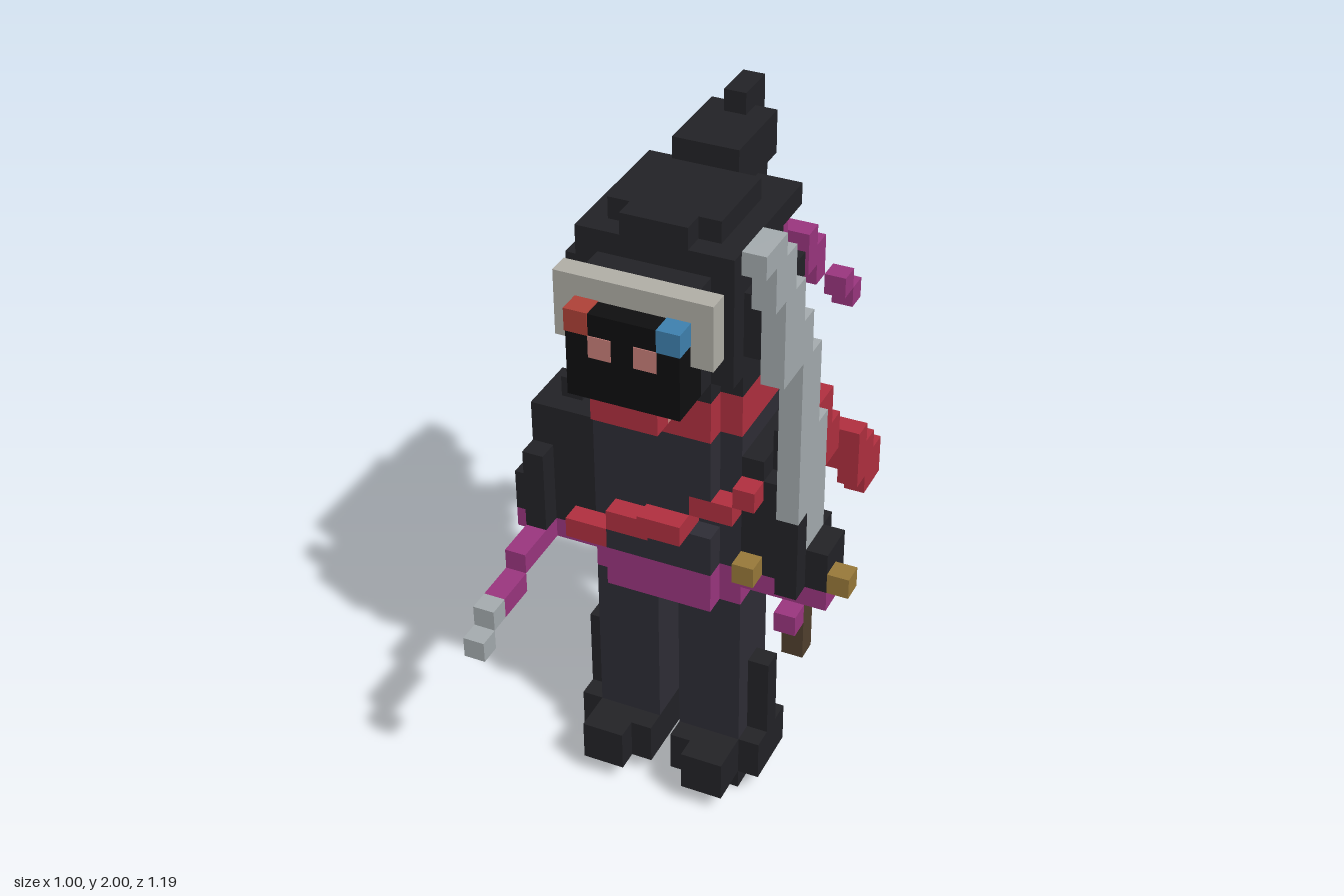
import * as THREE from 'three';

const V = 1 / 16; // edge of one voxel
const mat = (color) => new THREE.MeshStandardMaterial({ color, flatShading: true });
const M = {
  cloth: mat(0x232327), suit: mat(0x2e2d36), black: mat(0x0f0f10),
  purple: mat(0x9c3680), red: mat(0xb23040), steel: mat(0xa6adb0),
  plate: mat(0xb2b0a8), gold: mat(0x9a7a3a), brown: mat(0x52412f),
  skin: mat(0xcb817b), blue: mat(0x3f82b0), rust: mat(0xb04238),
};

// Each box is [x0, x1, y0, y1, z0, z1] in voxel units
function part(parent, name, material, boxes) {
  const g = new THREE.Group();
  g.name = name;
  for (const [x0, x1, y0, y1, z0, z1] of boxes) {
    const m = new THREE.Mesh(new THREE.BoxGeometry((x1 - x0) * V, (y1 - y0) * V, (z1 - z0) * V), material);
    m.position.set(((x0 + x1) / 2 - 8) * V, ((y0 + y1) / 2) * V, ((z0 + z1) / 2 - 9.5) * V);
    m.name = name;
    g.add(m);
  }
  parent.add(g);
}

// Mirror boxes across the body's middle plane (x = 7.5 voxels)
const mirror = (boxes) => boxes.map(([a, b, ...r]) => [15 - b, 15 - a, ...r]);

// Slab with its four upright corners notched by one voxel
const notched = (x0, x1, y0, y1, z0, z1) => [
  [x0, x1, y0, y1, z0 + 1, z1 - 1],
  [x0 + 1, x1 - 1, y0, y1, z0, z1],
];

export function createModel() {
  const root = new THREE.Group();
  root.name = 'voxelNinja';
  const add = (...a) => part(root, ...a);
  const pair = (name, material, boxes) => {
    add(name + 'Right', material, boxes);
    add(name + 'Left', material, mirror(boxes));
  };

  // Legs and feet
  pair('leg', M.suit, [[4, 7, 3, 11, 9, 12]]);
  pair('shinGuard', M.cloth, [[3, 4, 3, 7, 10, 11]]);
  pair('foot', M.cloth, [[3, 7, 1, 3, 9, 12], [4, 7, 1, 3, 9, 13], [4, 6, 1, 3, 8, 14]]);
  pair('sole', M.cloth, [[4, 6, 0, 1, 10, 12]]);

  // Torso, belt and hem
  add('torso', M.suit, [
    [4, 11, 13, 20, 8, 12], [5, 10, 13, 18, 7, 8],
    [5, 10, 17, 20, 12, 13], [5, 9, 16, 17, 12, 13],
    [5, 10, 13, 14, 12, 13], [7, 10, 14, 15, 12, 13],
  ]);
  add('belt', M.purple, notched(4, 11, 11, 12, 8, 13));
  add('hem', M.purple, notched(4, 11, 12, 13, 7, 13));
  pair('sleeveHem', M.purple, [[0, 4, 12, 13, 10, 12], [1, 4, 12, 13, 9, 12]]);

  // Diagonal chest sash
  add('sash', M.red, [
    [3, 5, 13, 14, 12, 13], [5, 7, 14, 15, 12, 13], [7, 9, 15, 16, 12, 14],
    [9, 11, 16, 17, 12, 13], [11, 12, 17, 18, 12, 13],
  ]);

  // Arms
  pair('shoulder', M.cloth, [[2, 3, 15, 20, 9, 11], [3, 4, 13, 19, 8, 12]]);
  pair('forearm', M.cloth, [[0, 4, 13, 15, 10, 12], [1, 4, 13, 15, 9, 12]]);
  pair('hand', M.cloth, [[1, 2, 13, 17, 12, 13]]);
  add('upperArmRight', M.cloth, [[1, 4, 15, 19, 9, 12]]);
  add('upperArmLeft', M.cloth, [[11, 13, 15, 18, 9, 12]]);

  // Scarf with trailing tail
  add('scarf', M.red, notched(4, 11, 20, 22, 7, 13));
  add('scarfKnot', M.black, [[7, 8, 21, 22, 12, 13.1]]);
  add('scarfTail', M.red, [
    [9, 11, 19, 21, 6, 8], [9, 11, 18, 20, 5, 7], [10, 12, 17, 18, 4, 7],
    [10, 12, 16, 17, 4, 6], [10, 12, 15, 16, 3, 5], [11, 12, 14, 15, 2, 5],
    [11, 13, 13, 15, 2, 3], [12, 13, 12, 13, 1, 3], [11, 13, 12, 14, 1, 2],
    [12, 13, 11, 13, 0, 2],
  ]);

  // Hooded head with side and back panels
  add('hood', M.cloth, [
    ...notched(4, 11, 22, 23, 7, 13),
    ...notched(4, 11, 23, 28, 7, 14),
    [5, 10, 24, 27, 6, 7], [3, 12, 24, 27, 8, 12],
    [4, 11, 28, 29, 6, 13], ...notched(5, 10, 29, 30, 7, 13),
  ]);
  add('topknot', M.cloth, [
    [6, 9, 28, 29, 5, 6], [6, 9, 29, 30, 4, 7], [6, 9, 30, 31, 4, 8],
    [7, 8, 30, 31, 3, 4], [7, 8, 31, 32, 3, 5],
  ]);

  // Face and headband
  add('face', M.black, [[5, 10, 23, 27, 14, 16]]);
  add('chin', M.skin, [[6, 9, 22, 23, 13, 15]]);
  add('mouthCover', M.red, [[6, 9, 22, 23, 15, 16]]);
  add('eyes', M.skin, [[6, 7, 25, 26, 15, 16.04], [8, 9, 25, 26, 15, 16.04]]);
  add('redStud', M.rust, [[4.96, 6, 26, 27.04, 15, 16.04]]);
  add('blueStud', M.blue, [[9, 10.04, 26, 27.04, 15, 16.04]]);
  add('headband', M.plate, [[4, 11, 27, 28, 14, 15], [4, 5, 25, 27, 14, 15], [10, 11, 25, 27, 14, 15]]);
  add('headbandRibbon', M.purple, [
    [9, 10, 27, 28, 6, 7], [9, 10, 25, 27, 5, 6], [9, 11, 24, 26, 4, 5],
    [10, 11, 23, 25, 3, 4], [11, 12, 22, 23, 2, 3], [11, 12, 21, 22, 1, 2],
  ]);

  // Long curved sword in the left hand
  add('swordBlade', M.steel, [
    [13, 14, 31, 32, 15, 17], [13, 14, 29, 31, 14, 16], [13, 14, 27, 29, 13, 15],
    [13, 14, 25, 27, 12, 15], [13, 14, 21, 25, 11, 13], [13, 14, 17, 21, 10, 13],
    [13, 14, 15, 17, 10, 12],
  ]);
  add('swordGuard', M.gold, [[11, 12, 13, 14, 12, 13], [15, 16, 13, 14, 11, 12]]);
  add('swordGrip', M.brown, [[13, 14, 9, 12, 11, 12]]);
  add('gripWrap', M.purple, [[13, 14, 11, 12, 12, 13]]);

  // Short dagger in the right hand
  add('daggerGrip', M.purple, [[1, 2, 12, 13, 12, 15], [1, 2, 11, 12, 15, 17]]);
  add('daggerBlade', M.steel, [[1, 2, 11, 12, 17, 18], [1, 2, 10, 11, 18, 19]]);

  return root;
}
